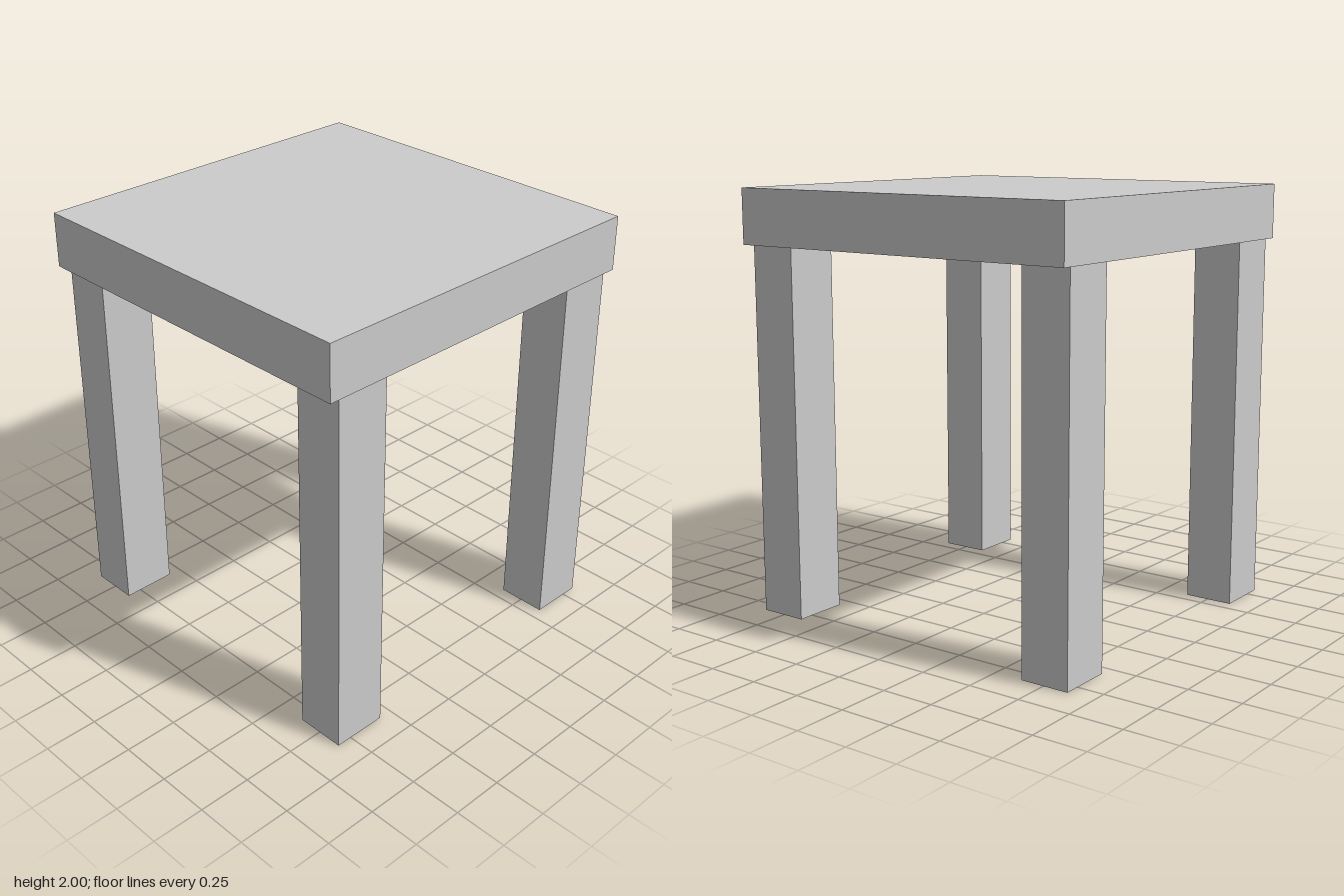
import * as THREE from 'three';

const SIZE = 1.76;            // width and depth of the top
const HEIGHT = 2;
const LEG_HEIGHT = 1.743;
const LEG_X = 0.754, LEG_Z = 0.694;         // leg centres
const LEG_WIDTH = 0.233, LEG_DEPTH = 0.26;

export function createModel() {
  const model = new THREE.Group();
  model.name = 'table';
  const material = new THREE.MeshStandardMaterial({ color: 0xcccccc });

  const addBox = (name, w, h, d, x, y, z) => {
    const mesh = new THREE.Mesh(new THREE.BoxGeometry(w, h, d), material);
    mesh.name = name;
    mesh.position.set(x, y, z);
    model.add(mesh);
  };

  // Thick square top
  const thickness = HEIGHT - LEG_HEIGHT;
  addBox('tableTop', SIZE, thickness, SIZE, 0, HEIGHT - thickness / 2, 0);

  // Four legs, mirrored left to right and front to back
  for (const [side, sx] of [['Left', 1], ['Right', -1]]) {
    for (const [end, sz] of [['front', 1], ['back', -1]]) {
      addBox(`${end}${side}Leg`, LEG_WIDTH, LEG_HEIGHT, LEG_DEPTH,
        sx * LEG_X, LEG_HEIGHT / 2, sz * LEG_Z);
    }
  }

  return model;
}
